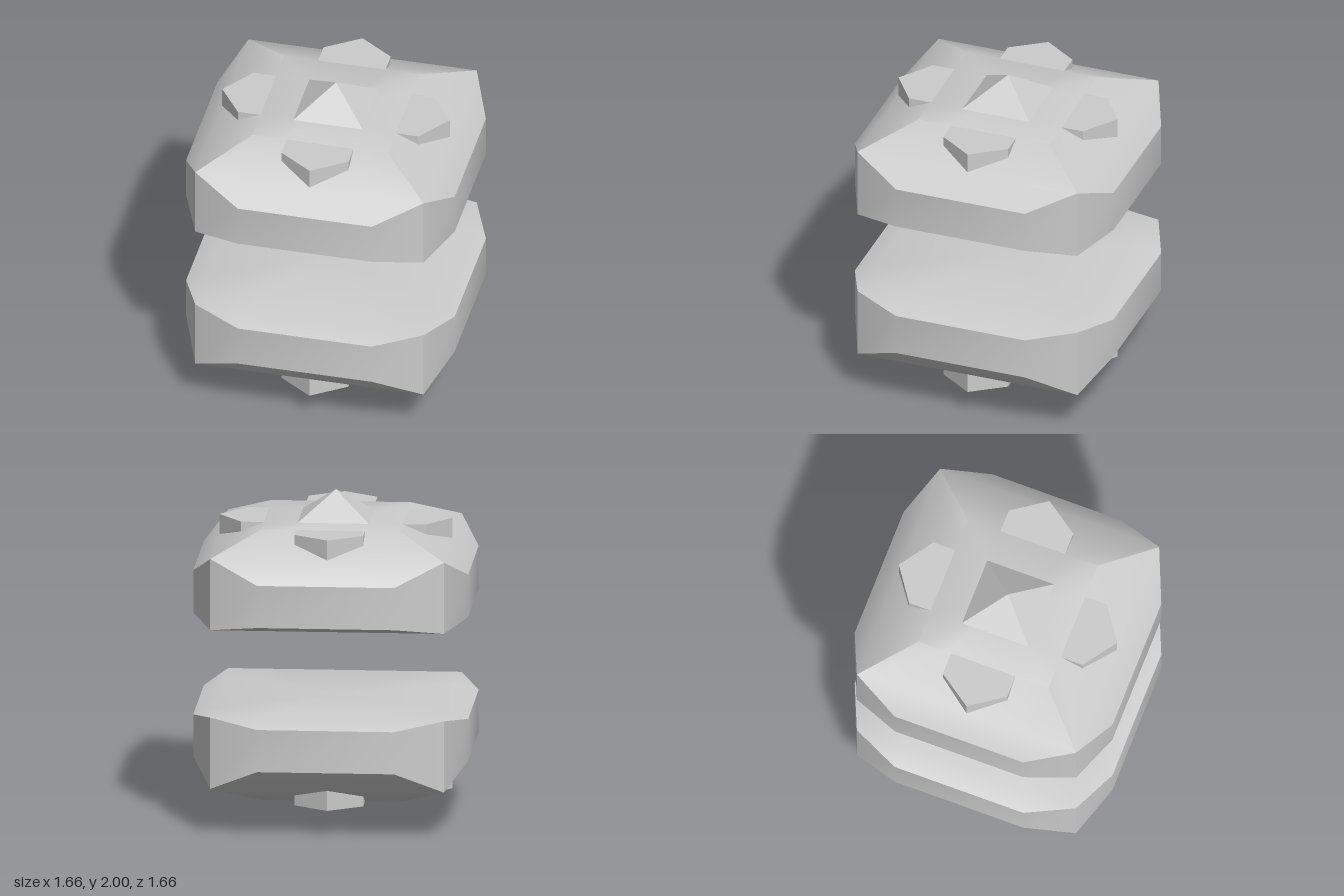
import * as THREE from 'three';
import { toCreasedNormals } from 'three/addons/utils/BufferGeometryUtils.js';

const TOP = 1.835; // height of the flat top of the upper slab

// Ring of 12 points: a corner and two edge points on each of four sides
function ring(corner, cornerY, half, out, outY) {
  const pts = [];
  for (let k = 0; k < 4; k++) {
    for (let [x, y, z] of [[-corner, cornerY, corner], [-half, outY, out], [half, outY, out]]) {
      for (let r = 0; r < k; r++) [x, z] = [z, -x];
      pts.push(new THREE.Vector3(x, y, z));
    }
  }
  return pts;
}

// Slab lofted through rings from bottom centre to top centre
function slabGeometry() {
  const rings = [
    ring(0, 1.27, 0, 0, 1.27),
    ring(0.707, 1.27, 0.415, 0.707, 1.27),
    ring(0.707, 1.27, 0.415, 0.832, 1.315),
    ring(0.707, 1.71, 0.415, 0.832, 1.575),
    ring(0.707, 1.71, 0.415, 0.707, 1.71),
    ring(0.42, TOP, 0.24, 0.42, TOP),
    ring(0, TOP, 0, 0, TOP),
  ];
  const pos = [];
  const tri = (a, b, c) => {
    const area = b.clone().sub(a).cross(c.clone().sub(a)).length();
    if (area > 1e-6) for (const p of [a, b, c]) pos.push(p.x, p.y, p.z);
  };
  for (let j = 0; j < rings.length - 1; j++) {
    const a = rings[j], b = rings[j + 1];
    for (let i = 0; i < 12; i++) {
      const n = (i + 1) % 12;
      tri(a[i], a[n], b[n]);
      tri(a[i], b[n], b[i]);
    }
  }
  const g = new THREE.BufferGeometry();
  g.setAttribute('position', new THREE.Float32BufferAttribute(pos, 3));
  return toCreasedNormals(g, THREE.MathUtils.degToRad(30));
}

// Pointed lug that continues the flat top outward over the slope
function lugGeometry() {
  const shape = new THREE.Shape([
    [0.42, -0.208], [0.56, -0.208], [0.705, 0], [0.56, 0.208], [0.42, 0.208],
  ].map(([x, y]) => new THREE.Vector2(x, y)));
  const g = new THREE.ExtrudeGeometry(shape, { depth: 0.135, bevelEnabled: false });
  return g.rotateX(-Math.PI / 2).translate(0, TOP - 0.135, 0);
}

export function createModel() {
  const smooth = new THREE.MeshStandardMaterial({ color: 0xcccccc });
  const flat = new THREE.MeshStandardMaterial({ color: 0xcccccc, flatShading: true });
  const add = (parent, name, geometry, material) => {
    const mesh = new THREE.Mesh(geometry, material);
    mesh.name = name;
    parent.add(mesh);
    return mesh;
  };

  const slab = slabGeometry();
  const lug = lugGeometry();
  const spike = new THREE.ConeGeometry(0.215 * Math.SQRT2, 2 - TOP, 4, 1, true)
    .rotateY(Math.PI / 4).translate(0, (2 + TOP) / 2, 0);

  function half(name) {
    const group = new THREE.Group();
    group.name = name;
    add(group, 'slab', slab, smooth);
    add(group, 'spike', spike, flat);
    for (let i = 0; i < 4; i++) add(group, 'lug' + (i + 1), lug, flat).rotation.y = i * Math.PI / 2;
    return group;
  }

  const model = new THREE.Group();
  model.name = 'floatingSlabs';
  const lower = half('lowerHalf');
  // The lower half is the upper one turned upside down
  lower.rotation.x = Math.PI;
  lower.position.y = 2;
  model.add(half('upperHalf'), lower);
  return model;
}
